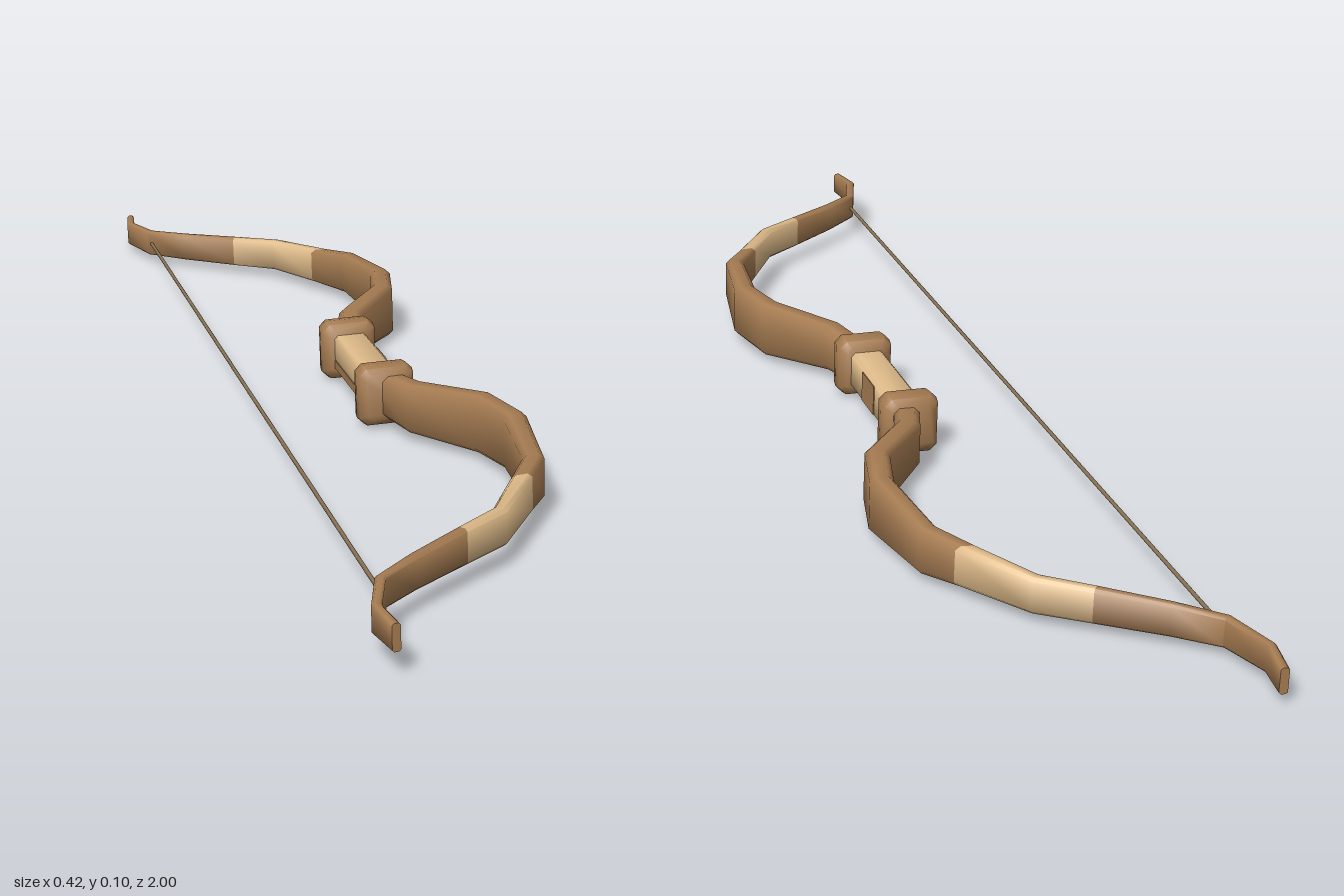
import * as THREE from 'three';
import { toCreasedNormals } from 'three/addons/utils/BufferGeometryUtils.js';

const wood = new THREE.MeshStandardMaterial({ color: 0xa67c52 });
wood.name = 'brown wood';
const pale = new THREE.MeshStandardMaterial({ color: 0xe0bc8a });
pale.name = 'pale wrap';
const cord = new THREE.MeshStandardMaterial({ color: 0x8a7557 });
cord.name = 'cord';

// Lofts chamfered rectangles along a path in the xz plane.
// Each section is [x, z, thickness, height, slant]; matOf(i) picks the material of span i.
function loft(sections, chamfer, matOf = () => 0) {
  const pos = [], index = [], n = 8, last = sections.length - 1;
  const point = (i) => new THREE.Vector3(sections[i][0], 0, sections[i][1]);
  const up = new THREE.Vector3(0, 1, 0);
  sections.forEach(([x, z, w, h, slant = 0], i) => {
    const t = point(Math.min(i + 1, last)).sub(point(Math.max(i - 1, 0))).normalize();
    const across = up.clone().cross(t).addScaledVector(t, slant);
    const a = w / 2, b = h / 2, c = Math.min(a, b) * chamfer;
    const ring = [[a, -b + c], [a, b - c], [a - c, b], [c - a, b],
      [-a, b - c], [-a, c - b], [c - a, -b], [a - c, -b]];
    ring.forEach(([u, v]) => pos.push(x + across.x * u, v, z + across.z * u));
  });
  const geo = new THREE.BufferGeometry();
  for (let i = 0; i < last; i++) {
    geo.addGroup(index.length, n * 6, matOf(i));
    for (let k = 0; k < n; k++) {
      const p = i * n + k, q = i * n + (k + 1) % n;
      index.push(p, q, q + n, p, q + n, p + n);
    }
  }
  geo.addGroup(index.length, (n - 2) * 6, 0);
  for (let k = 1; k < n - 1; k++) {
    const e = last * n;
    index.push(0, k + 1, k, e, e + k, e + k + 1);
  }
  geo.setAttribute('position', new THREE.Float32BufferAttribute(pos, 3));
  geo.setIndex(index);
  return toCreasedNormals(geo, 0.9);
}

export function createModel() {
  const model = new THREE.Group();
  const bow = new THREE.Group();
  bow.name = 'bow';
  model.add(bow);
  const add = (name, geo, mat) => {
    const mesh = new THREE.Mesh(geo, mat);
    mesh.name = name;
    bow.add(mesh);
    return mesh;
  };

  // Recurved limb from the grip to the tip
  const limb = [
    [0.053, 0.11, 0.04, 0.065], [0.08, 0.20, 0.04, 0.077],
    [0.159, 0.30, 0.038, 0.09], [0.18, 0.39, 0.036, 0.088],
    [0.16, 0.54, 0.031, 0.07], [0.123, 0.60, 0.027, 0.061, -0.8],
    [0.061, 0.70, 0.021, 0.054], [-0.006, 0.749, 0.018, 0.052],
    [-0.09, 0.812, 0.016, 0.048], [-0.147, 0.862, 0.015, 0.045],
    [-0.172, 0.94, 0.014, 0.042], [-0.163, 1.0, 0.012, 0.038],
  ];
  // Rounded collar at each end of the grip: [z, scale]
  const collar = [[0.092, 0.75], [0.103, 0.97], [0.12, 1.02], [0.136, 0.97], [0.147, 0.75]];

  for (const s of [1, -1]) {
    const side = s > 0 ? 'front' : 'back';
    add(side + 'Limb',
      loft(limb.map(([x, z, w, h, slant = 0]) => [x, z * s, w, h, slant * s]), 0.45,
        (i) => (i === 5 || i === 6 ? 1 : 0)),
      [wood, pale]);
    add(side + 'Collar',
      loft(collar.map(([z, k]) => [0.053, z * s, 0.088 * k, 0.094 * k]), 0.25), wood);
  }

  // Grip with bare wood showing on its outer face and along its inner lower edge
  add('grip', loft([[0.053, -0.11, 0.054, 0.06], [0.053, 0.11, 0.054, 0.06]], 0.22), pale);
  const outerPatch = add('outerGripPatch', new THREE.BoxGeometry(0.004, 0.048, 0.062), wood);
  outerPatch.position.set(0.0795, 0, -0.002);
  const innerPatch = add('innerGripPatch', new THREE.BoxGeometry(0.004, 0.014, 0.18), wood);
  innerPatch.position.set(0.0265, -0.017, 0);

  // String
  const string = add('string', new THREE.CylinderGeometry(0.003, 0.003, 1.724, 6), cord);
  string.rotation.x = Math.PI / 2;
  string.position.x = -0.147;

  // Slight resting tilt
  bow.rotation.set(-0.01, 0.033, 0.03);
  bow.position.set(0, 0.05, -0.005);
  return model;
}
